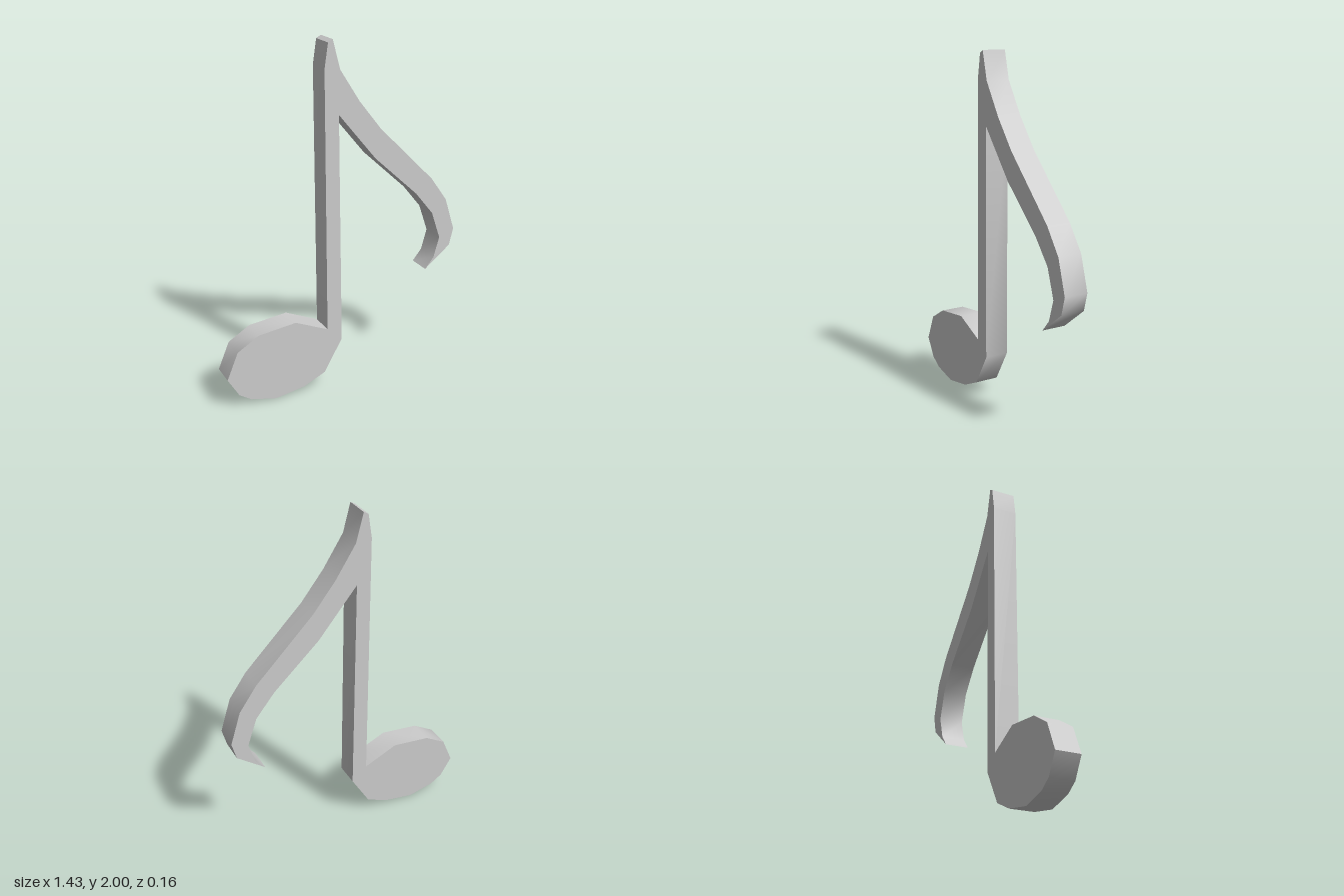
import * as THREE from 'three';
import { toCreasedNormals } from 'three/addons/utils/BufferGeometryUtils.js';

const DEPTH = 0.14;

// Outline of the whole note, counter-clockwise from the bottom of the head
const OUTLINE = [
  // head, underside
  [-0.435, 0], [-0.26, 0.03], [-0.13, 0.09], [-0.02, 0.28],
  // stem, inner side
  [-0.033, 1.6],
  // flag, underside down to the tip
  [0.19, 1.33], [0.455, 1.085], [0.565, 0.95], [0.62, 0.79], [0.585, 0.67], [0.53, 0.605],
  // flag, outer side back up to the stem
  [0.69, 0.73], [0.715, 0.83], [0.655, 1.02], [0.555, 1.16], [0.22, 1.495],
  [0.09, 1.66], [-0.025, 1.84],
  // top of the stem
  [-0.067, 2], [-0.094, 1.985], [-0.115, 1.85],
  // stem, outer side and top of the head
  [-0.11, 0.36], [-0.305, 0.447], [-0.53, 0.42], [-0.655, 0.345],
  [-0.72, 0.19], [-0.655, 0.08], [-0.585, 0.035],
];

export function createModel() {
  const group = new THREE.Group();
  group.name = 'musicalNote';

  const shape = new THREE.Shape(OUTLINE.map(([x, y]) => new THREE.Vector2(x, y)));
  let geometry = new THREE.ExtrudeGeometry(shape, { depth: DEPTH, bevelEnabled: false });
  geometry.translate(0, 0, -DEPTH / 2);

  // The note leans back very slightly
  const pos = geometry.attributes.position;
  for (let i = 0; i < pos.count; i++) {
    pos.setZ(i, pos.getZ(i) + 0.008 - 0.0075 * pos.getY(i));
  }
  // Smooth along the rim, sharp between rim and faces
  geometry = toCreasedNormals(geometry, THREE.MathUtils.degToRad(40));

  const note = new THREE.Mesh(geometry, new THREE.MeshStandardMaterial({ color: 0xcccccc }));
  note.name = 'noteBody';
  group.add(note);
  return group;
}
